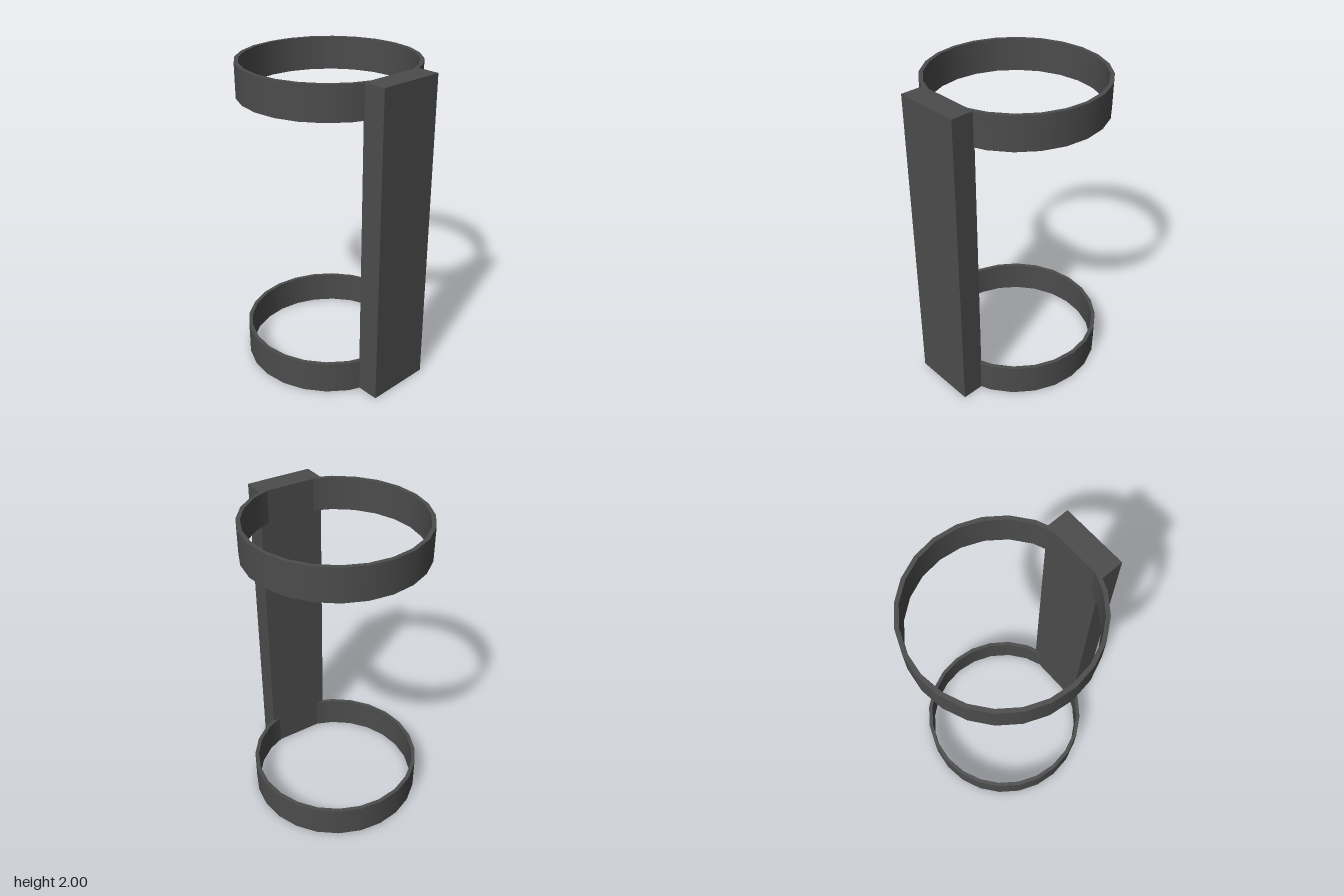
import * as THREE from 'three';
import { mergeGeometries } from 'three/addons/utils/BufferGeometryUtils.js';

const OUTER = 0.555, INNER = 0.53, RING_HEIGHT = 0.21, SIDES = 24;

// Hollow band: each wall is its own lathe strip, so rims stay sharp and walls smooth
function bandGeometry() {
  const corners = [[OUTER, 0], [OUTER, RING_HEIGHT], [INNER, RING_HEIGHT], [INNER, 0]]
    .map(([r, y]) => new THREE.Vector2(r, y));
  const strips = corners.map((p, i) => new THREE.LatheGeometry([p, corners[(i + 1) % 4]], SIDES));
  return mergeGeometries(strips);
}

export function createModel() {
  const group = new THREE.Group();
  group.name = 'ringHolder';
  const darkGrey = new THREE.MeshStandardMaterial({ color: 0x4c4c4c });
  darkGrey.name = 'darkGrey';

  // Upright bar on the left side
  const bar = new THREE.Mesh(new THREE.BoxGeometry(0.147, 2, 0.42), darkGrey);
  bar.name = 'uprightBar';
  bar.position.set(0.5285, 1, 0);
  group.add(bar);

  // Holding rings, flush with both ends of the bar
  const band = bandGeometry();
  for (const [name, y] of [['lowerRing', 0], ['upperRing', 2 - RING_HEIGHT]]) {
    const ring = new THREE.Mesh(band, darkGrey);
    ring.name = name;
    ring.position.set(-0.048, y, 0);
    group.add(ring);
  }
  return group;
}
